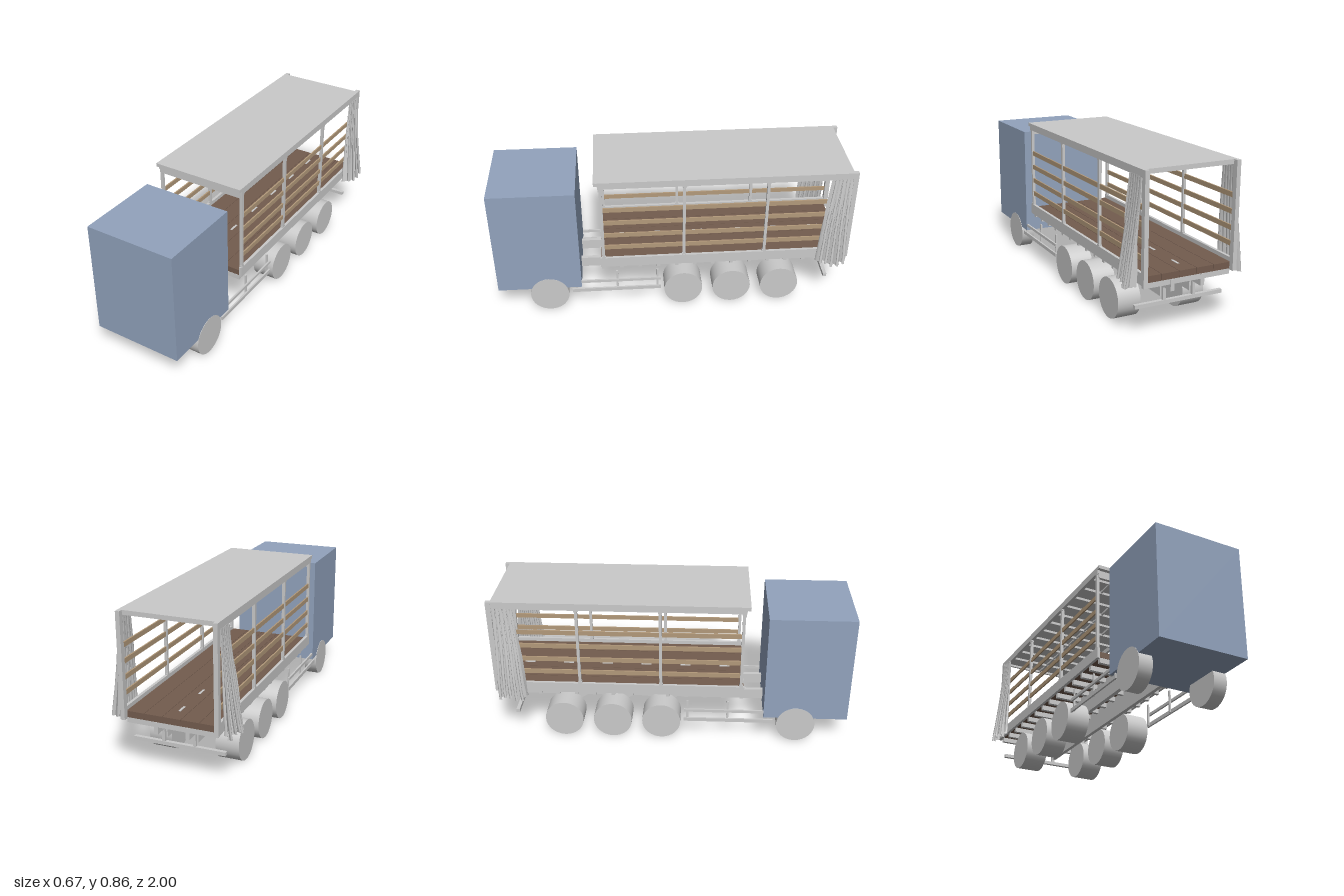
import * as THREE from 'three';

const CX = 0.0125; // centre line of the vehicle

export function createModel() {
  const model = new THREE.Group();
  model.name = 'curtainSideTruck';
  const mat = (name, color, extra = {}) => {
    const m = new THREE.MeshStandardMaterial({ color, ...extra });
    m.name = name;
    return m;
  };
  const grey = mat('lightGrey', 0xcacaca, { side: THREE.DoubleSide });
  const blue = mat('cabBlue', 0x92a3bd);
  const tan = mat('slatWood', 0xb39a7b);
  const brown = mat('floorWood', 0x735c4e);

  const add = (name, geometry, material, x = 0, y = 0, z = 0) => {
    const mesh = new THREE.Mesh(geometry, material);
    mesh.name = name;
    mesh.position.set(x, y, z);
    model.add(mesh);
    return mesh;
  };
  // Box from its limits, with x measured from the centre line
  const box = (name, material, x0, x1, y0, y1, z0, z1) =>
    add(name, new THREE.BoxGeometry(Math.abs(x1 - x0), y1 - y0, z1 - z0), material,
      CX + (x0 + x1) / 2, (y0 + y1) / 2, (z0 + z1) / 2);

  // Cab
  box('cab', blue, -0.252, 0.252, 0.153, 0.785, 0.525, 1);

  // Load floor planks
  const planks = 5, plankWidth = 0.494 / planks;
  for (let i = 0; i < planks; i++) {
    const x = -0.247 + i * plankWidth;
    box('floorPlank', brown, x + 0.001, x + plankWidth - 0.001, 0.305, 0.338, -0.97, 0.405);
  }
  box('floorBase', brown, -0.245, 0.245, 0.303, 0.334, -0.968, 0.403);
  for (let i = 0; i < 6; i++) {
    const z = 0.3 - i * 0.23;
    box('floorFitting', grey, -0.006, 0.006, 0.336, 0.34, z - 0.03, z + 0.03);
  }

  // Cross members under the floor
  for (let i = 0; i < 14; i++) {
    const z = 0.395 - i * 0.104;
    box('crossMember', grey, -0.245, 0.245, 0.275, 0.304, z - 0.01, z + 0.01);
  }

  // Roof skin, front header and grid of bows
  box('roof', grey, -0.262, 0.264, 0.85, 0.86, -0.975, 0.415);
  box('frontLip', grey, -0.262, 0.262, 0.84, 0.86, 0.395, 0.425);
  box('frontHeader', grey, -0.25, 0.25, 0.795, 0.842, 0.385, 0.402);
  for (let i = 0; i < 12; i++) {
    const z = 0.3 - i * 0.115;
    box('roofBow', grey, -0.25, 0.25, 0.835, 0.851, z - 0.006, z + 0.006);
  }
  for (const x of [-0.125, 0, 0.125])
    box('roofStringer', grey, x - 0.005, x + 0.005, 0.838, 0.851, -0.97, 0.39);

  // Stepped side outline of the chassis beam
  const outline = [[0.53, 0.18], [0.53, 0.24], [0.41, 0.24], [0.41, 0.3],
    [-0.97, 0.3], [-0.97, 0.24], [-0.87, 0.24], [-0.87, 0.18]];
  const chassisShape = new THREE.Shape(outline.map(([z, y]) => new THREE.Vector2(-z, y)));

  for (const s of [-1, 1]) {
    // Chassis beam
    const beam = new THREE.ExtrudeGeometry(chassisShape, { depth: 0.022, bevelEnabled: false });
    beam.rotateY(Math.PI / 2);
    add('chassisBeam', beam, grey, CX + s * 0.085 - 0.011);

    // Rails and posts of the load bed
    box('lowerSideRail', grey, s * 0.246, s * 0.262, 0.3, 0.36, -0.975, 0.408);
    box('upperSideRail', grey, s * 0.246, s * 0.262, 0.82, 0.856, -0.98, 0.405);
    for (const z of [0.39, -0.06, -0.515]) {
      box('sidePost', grey, s * 0.244, s * 0.26, 0.355, 0.825, z - 0.008, z + 0.008);
      for (const y of [0.362, 0.818])
        box('postFoot', grey, s * 0.245, s * 0.261, y - 0.006, y + 0.006, z - 0.011, z + 0.011);
    }
    box('rearPost', grey, s * 0.24, s * 0.263, 0.3, 0.86, -1, -0.972);

    // Wooden side slats
    for (const y of [0.431, 0.512, 0.595, 0.679])
      box('sideSlat', tan, s * 0.248, s * 0.256, y - 0.013, y + 0.013, -0.972, 0.388);

    // Side guard
    box('guardLowerBar', grey, s * 0.24, s * 0.25, 0.114, 0.135, 0.07, 0.58);
    box('guardUpperBar', grey, s * 0.24, s * 0.25, 0.178, 0.194, 0.07, 0.58);
    for (const z of [0.555, 0.32, 0.09])
      box('guardPost', grey, s * 0.232, s * 0.241, 0.118, 0.247, z - 0.006, z + 0.006);

    // Rear bumper hanger
    box('bumperHanger', grey, s * 0.085 - 0.008, s * 0.085 + 0.008, 0.15, 0.25, -0.896, -0.88);

    // Wheels: single in front, doubled at the rear
    const wheel = (name, inner, outer, z) => {
      const geometry = new THREE.CylinderGeometry(0.11, 0.11, outer - inner, 32);
      geometry.rotateZ(Math.PI / 2);
      add(name, geometry, grey, CX + s * (inner + outer) / 2, 0.11, z);
    };
    wheel('frontWheel', 0.177, 0.254, 0.71);
    for (const z of [-0.06, -0.34, -0.62]) {
      wheel('rearOuterWheel', 0.177, 0.254, z);
      wheel('rearInnerWheel', 0.125, 0.177, z);
    }

    add('gatheredCurtain', curtain(s), grey);
  }
  box('rearBumper', grey, -0.252, 0.252, 0.147, 0.167, -0.898, -0.878);

  return model;
}

// Sheet gathered into folds that hangs from the roof and flares towards its hem
function curtain(s) {
  const geometry = new THREE.PlaneGeometry(1, 1, 72, 14);
  const p = geometry.attributes.position;
  for (let i = 0; i < p.count; i++) {
    const u = p.getX(i) + 0.5, t = 0.5 - p.getY(i);
    const a = u * Math.PI * 10 + 0.7 * Math.sin(t * 4 + s);
    const flare = Math.pow(t, 1.3);
    const wide = 0.1 + 0.04 * t;
    const z = -0.965 + u * wide + 0.012 * Math.sin(2 * a) + 0.018 * t * (u + 0.3 * Math.sin(5 * t));
    const depth = 0.006 + 0.02 * flare;
    const out = 0.256 + depth + 0.026 * flare * (0.7 + 0.4 * Math.sin(u * 5 + s)) + depth * Math.sin(a);
    const hem = 0.285 + 0.014 * Math.sin(u * 8 + s * 1.3);
    p.setXYZ(i, CX + s * out, 0.825 + (hem - 0.825) * t, z);
  }
  geometry.computeVertexNormals();
  return geometry;
}
